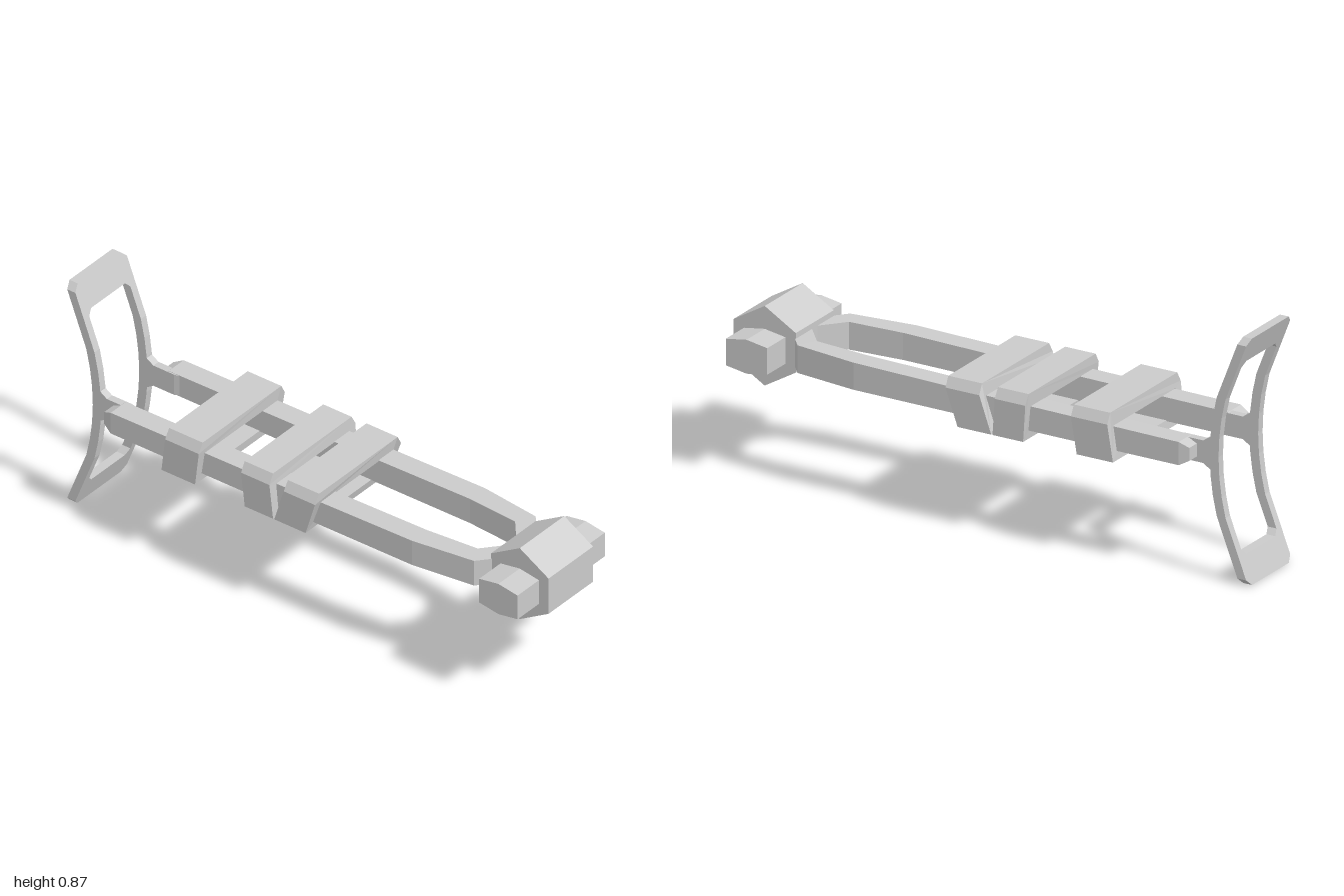
import * as THREE from 'three';

const material = new THREE.MeshStandardMaterial({ color: 0xcccccc, flatShading: true });

function part(name, geometry) {
  const mesh = new THREE.Mesh(geometry, material);
  mesh.name = name;
  return mesh;
}

const polygon = (pts) => pts.map(([x, y]) => new THREE.Vector2(x, y));

// Moves every vertex in z by a rule depending on its height
function shiftZ(geometry, rule) {
  const p = geometry.attributes.position;
  for (let i = 0; i < p.count; i++) p.setZ(i, p.getZ(i) + rule(p.getY(i)));
  geometry.computeVertexNormals();
  return geometry;
}

// Bar lofted through sections [innerX, innerZ, outerX, outerZ, bottomY, topY], back to front
function loft(sections) {
  const rings = sections.map(([xi, zi, xo, zo, y0, y1]) => [[xi, y0, zi], [xo, y0, zo], [xo, y1, zo], [xi, y1, zi]]);
  const pos = [];
  const quad = (a, b, c, d) => pos.push(...a, ...b, ...c, ...a, ...c, ...d);
  for (let i = 0; i < rings.length - 1; i++) {
    const a = rings[i], b = rings[i + 1];
    for (let j = 0; j < 4; j++) {
      const k = (j + 1) % 4;
      quad(a[j], a[k], b[k], b[j]);
    }
  }
  quad(...[...rings[0]].reverse());
  quad(...rings[rings.length - 1]);
  const g = new THREE.BufferGeometry();
  g.setAttribute('position', new THREE.Float32BufferAttribute(pos, 3));
  g.computeVertexNormals();
  return g;
}

// Six-sided prism lying along x
function hexPrism(name, width, halfDepth, halfSide, halfHeight) {
  const shape = new THREE.Shape(polygon([
    [-halfDepth, -halfSide], [0, -halfHeight], [halfDepth, -halfSide],
    [halfDepth, halfSide], [0, halfHeight], [-halfDepth, halfSide],
  ]));
  const g = new THREE.ExtrudeGeometry(shape, { depth: width, bevelEnabled: false });
  g.translate(0, 0, -width / 2).rotateY(Math.PI / 2);
  const mesh = part(name, g);
  mesh.position.set(0, 0.454, 0.88);
  return mesh;
}

// Hollow wrap around both rails, its lower part slanting by skew
function band(name, zBack, depth, skew) {
  const shape = new THREE.Shape(polygon([
    [-0.225, 0.373], [0.225, 0.373], [0.23, 0.505], [0.21, 0.54], [-0.21, 0.54], [-0.23, 0.505],
  ]));
  shape.holes.push(new THREE.Path(polygon([
    [-0.193, 0.406], [-0.193, 0.49], [0.193, 0.49], [0.193, 0.406],
  ])));
  const g = new THREE.ExtrudeGeometry(shape, { depth, bevelEnabled: false });
  g.translate(0, 0, zBack);
  return part(name, shiftZ(g, (y) => skew * THREE.MathUtils.clamp((0.51 - y) / 0.13, 0, 1)));
}

// Rear frame: curved near the middle, straight towards its ends
const midY = 0.437, bendEnd = 0.21;
function frameBend(y) {
  const d = Math.abs(y - midY);
  return d <= bendEnd ? -0.61 * d * d : -0.027 - 0.39 * (d - bendEnd);
}

function rearFrame() {
  const frame = new THREE.Group();
  frame.name = 'rearFrame';
  const depth = 0.034, backZ = -0.85 - depth;
  for (const s of [-1, 1]) {
    // Curved side bar
    const bar = new THREE.BoxGeometry(0.028, bendEnd * 2, depth, 1, 6, 1);
    bar.translate(s * 0.124, midY, backZ + depth / 2);
    frame.add(part('frameSideBar', shiftZ(bar, frameBend)));

    // U-shaped end with clipped corners
    const pts = [
      [-0.138, bendEnd], [-0.138, 0.414], [-0.115, 0.436], [0.115, 0.436], [0.138, 0.414], [0.138, bendEnd],
      [0.11, bendEnd], [0.11, 0.322], [0.09, 0.341], [-0.09, 0.341], [-0.11, 0.322], [-0.11, bendEnd],
    ].map(([x, d]) => [x, midY + s * d]);
    const end = new THREE.ExtrudeGeometry(new THREE.Shape(polygon(pts)), { depth, bevelEnabled: false });
    end.translate(0, 0, backZ);
    frame.add(part(s > 0 ? 'frameTop' : 'frameBottom', shiftZ(end, frameBend)));
  }
  return frame;
}

export function createModel() {
  const model = new THREE.Group();
  model.name = 'model';

  // Front hub and the axle stubs through it
  model.add(hexPrism('hub', 0.238, 0.12, 0.07, 0.141));
  model.add(hexPrism('axle', 0.466, 0.08, 0.047, 0.06));

  // Rails bending in to the hub, with tapered rear tips
  const rail = loft([
    [0.125, -0.8, 0.185, -0.8, 0.422, 0.468],
    [0.115, -0.765, 0.195, -0.765, 0.403, 0.485],
    [0.115, -0.1, 0.195, -0.1, 0.404, 0.492],
    [0.115, 0.49, 0.195, 0.49, 0.406, 0.502],
    [0.1, 0.69, 0.165, 0.725, 0.406, 0.504],
    [0.005, 0.77, 0.1, 0.78, 0.406, 0.504],
  ]);
  // Arms joining the rails to the rear frame
  const arm = loft([
    [0.11, -0.865, 0.138, -0.865, 0.378, 0.51],
    [0.11, -0.825, 0.138, -0.825, 0.404, 0.484],
    [0.11, -0.74, 0.138, -0.74, 0.404, 0.484],
    [0.116, -0.715, 0.138, -0.715, 0.406, 0.482],
  ]);
  for (const s of [1, -1]) {
    const side = new THREE.Group();
    side.name = s > 0 ? 'leftSide' : 'rightSide';
    side.add(part('rail', rail), part('frameArm', arm));
    side.scale.x = s;
    model.add(side);
  }

  // Three wraps
  model.add(band('frontBand', -0.015, 0.13, -0.045));
  model.add(band('middleBand', -0.195, 0.118, 0.012));
  model.add(band('rearBand', -0.51, 0.14, -0.02));

  model.add(rearFrame());
  return model;
}
